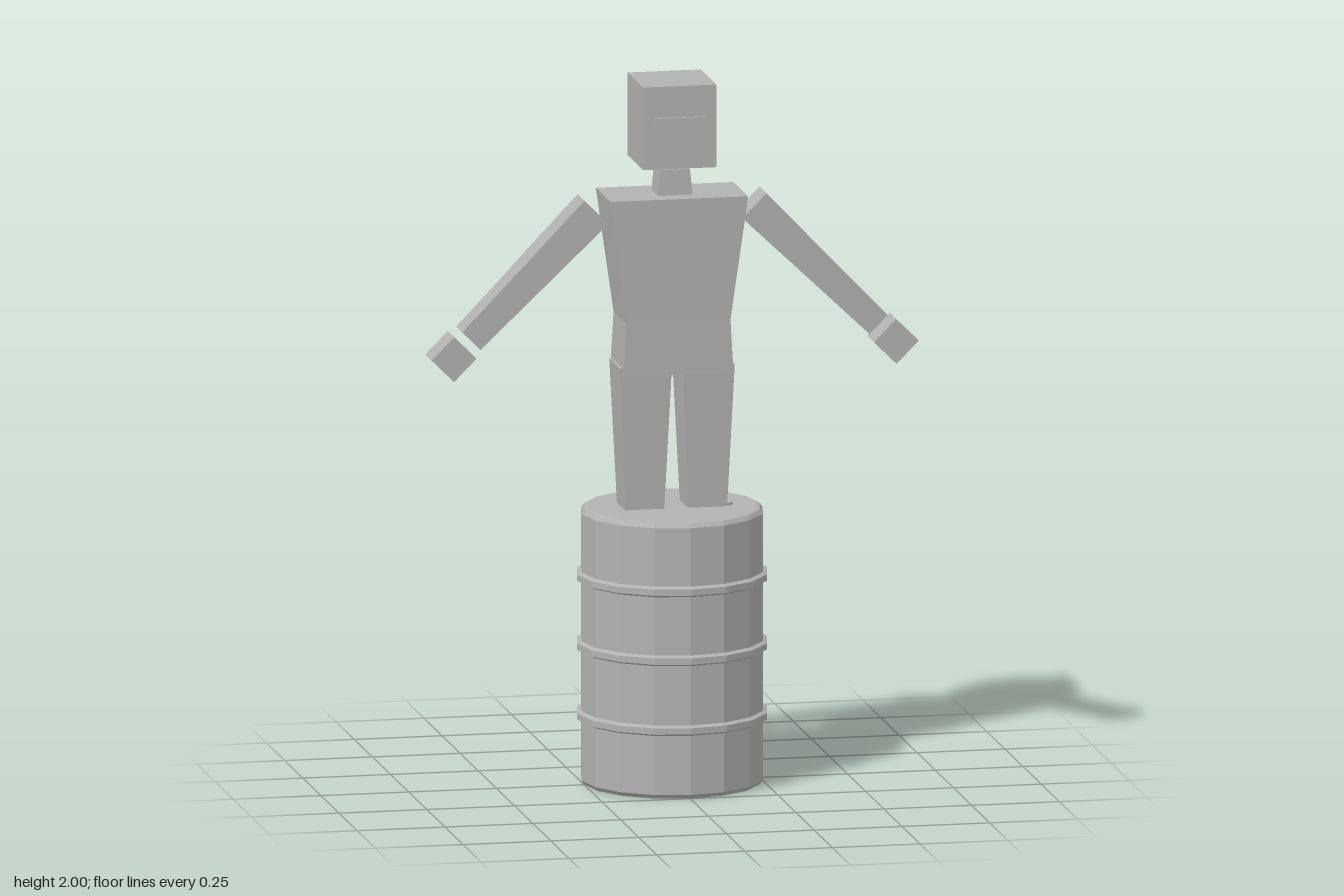
import * as THREE from 'three';

const grey = new THREE.MeshStandardMaterial({ color: 0xb2b2b2 });
grey.name = 'grey';

// Give every face its own flat normal
function faceted(geometry) {
  const flat = geometry.toNonIndexed();
  flat.computeVertexNormals();
  return flat;
}

function addPart(parent, name, geometry) {
  const mesh = new THREE.Mesh(faceted(geometry), grey);
  mesh.name = name;
  parent.add(mesh);
  return mesh;
}

// Box whose bottom and top differ in [width, depth]; origin at the bottom centre
function taperedBox(height, bottom, top) {
  const geometry = new THREE.BoxGeometry(1, height, 1).translate(0, height / 2, 0);
  const p = geometry.attributes.position;
  for (let i = 0; i < p.count; i++) {
    const [w, d] = p.getY(i) > height / 2 ? top : bottom;
    p.setX(i, p.getX(i) * w);
    p.setZ(i, p.getZ(i) * d);
  }
  return geometry;
}

// Sixteen-sided drum with chamfered ends and three raised hoops
function barrel() {
  const group = new THREE.Group();
  group.name = 'barrel';
  const body = 0.258, hoop = 0.27;
  const profile = [[0, 0], [0.248, 0], [body, 0.012]];
  for (const y of [0.195, 0.394, 0.59]) {
    profile.push([body, y - 0.015], [hoop, y - 0.009], [hoop, y + 0.009], [body, y + 0.015]);
  }
  profile.push([body, 0.771], [0.249, 0.783], [0.239, 0.785], [0, 0.785]);
  const points = profile.map(([r, y]) => new THREE.Vector2(r, y));
  addPart(group, 'drum', new THREE.LatheGeometry(points, 16));
  addPart(group, 'bung', new THREE.CylinderGeometry(0.03, 0.03, 0.01, 10))
    .position.set(0.14, 0.788, 0.01);
  return group;
}

// One arm, built hanging down from the shoulder and swung outward
function arm(side) {
  const group = new THREE.Group();
  group.name = side > 0 ? 'leftArm' : 'rightArm';
  addPart(group, 'upperArm', taperedBox(0.264, [0.084, 0.092], [0.097, 0.096])).position.y = -0.264;
  addPart(group, 'forearm', taperedBox(0.237, [0.074, 0.084], [0.084, 0.088])).position.y = -0.501;
  addPart(group, 'hand', taperedBox(0.091, [0.09, 0.09], [0.09, 0.09])).position.y = -0.617;
  group.position.set(side * 0.225, 1.638, 0);
  group.rotation.z = side * 0.787;
  return group;
}

export function createModel() {
  const model = new THREE.Group();
  model.name = 'figureOnBarrel';
  model.add(barrel());

  // Legs and arms in pairs
  for (const side of [1, -1]) {
    addPart(model, side > 0 ? 'leftLeg' : 'rightLeg',
      taperedBox(0.408, [0.112, 0.112], [0.148, 0.148])).position.set(side * 0.0895, 0.788, 0);
    model.add(arm(side));
  }

  // Torso: hips flare slightly below the waist, chest widens to the shoulders
  addPart(model, 'hips', taperedBox(0.15, [0.314, 0.176], [0.296, 0.18])).position.y = 1.175;
  addPart(model, 'chest', taperedBox(0.352, [0.296, 0.18], [0.392, 0.204])).position.y = 1.325;

  // Neck, head and thin face plate
  addPart(model, 'neck', taperedBox(0.073, [0.098, 0.094], [0.084, 0.088])).position.y = 1.677;
  addPart(model, 'head', new THREE.BoxGeometry(0.209, 0.235, 0.216)).position.set(0, 1.8825, 0);
  addPart(model, 'facePlate', new THREE.BoxGeometry(0.145, 0.032, 0.009)).position.set(0, 1.895, 0.1115);
  return model;
}
